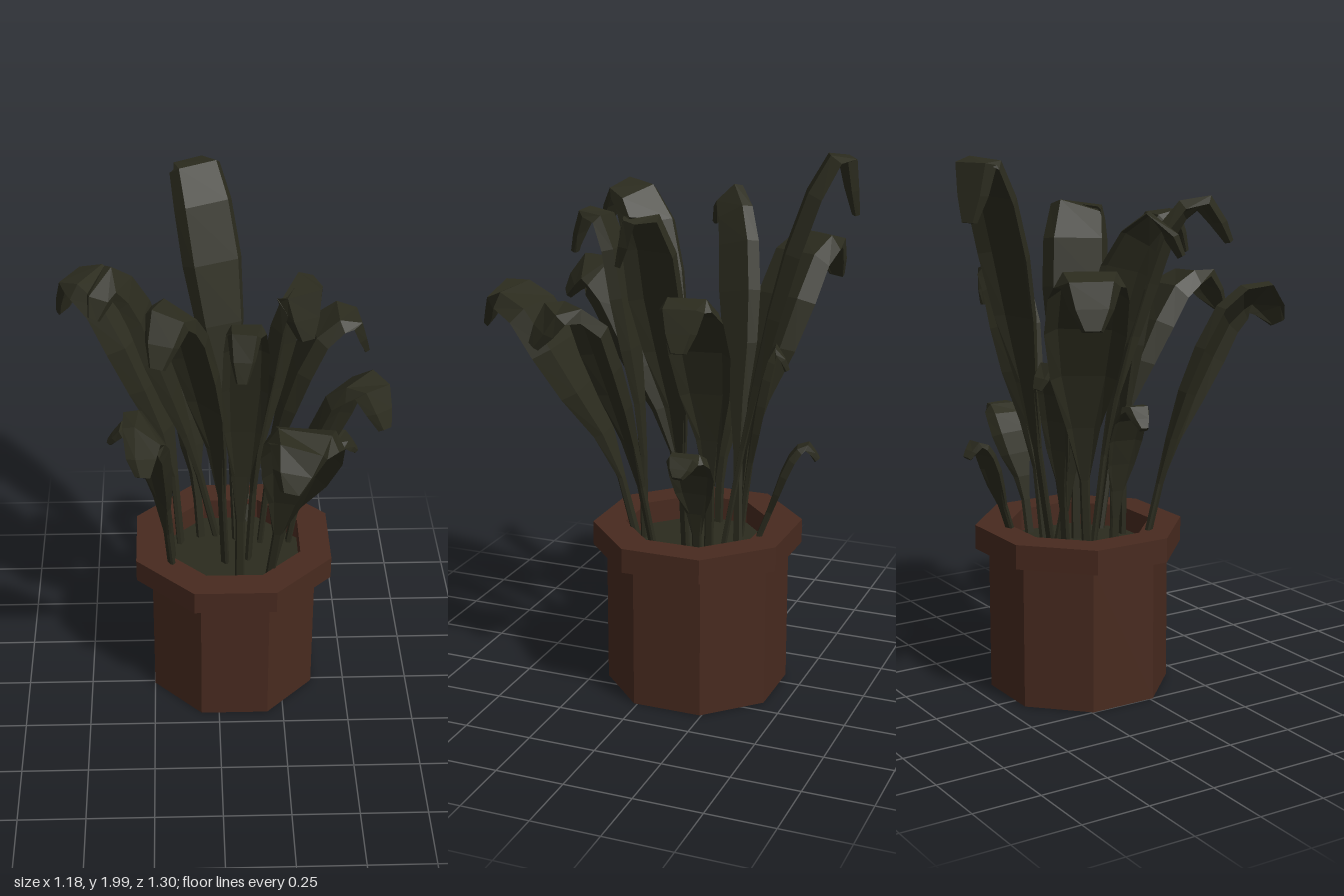
import * as THREE from 'three';

const terracotta = new THREE.MeshStandardMaterial({ color: 0x482a1f });
terracotta.name = 'terracotta';
const darkGreen = new THREE.MeshStandardMaterial({ color: 0x2b2b1e });
darkGreen.name = 'dark green';

const CX = 0.06, CZ = -0.115; // pot axis

function facet(geometry) {
  const g = geometry.index ? geometry.toNonIndexed() : geometry;
  g.computeVertexNormals();
  return g;
}

// Eight-sided turned part; profile is [apothem, y], flats facing the axes
function octagon(name, profile, material, zScale = 1) {
  const pts = profile.map(([a, y]) => new THREE.Vector2(a / Math.cos(Math.PI / 8), y));
  const g = new THREE.LatheGeometry(pts, 8, Math.PI / 8);
  g.scale(1, 1, zScale);
  const mesh = new THREE.Mesh(facet(g), material);
  mesh.name = name;
  mesh.position.set(CX, 0, CZ);
  return mesh;
}

// [position along the leaf, share of full blade width]
const PROFILE = [[0, 0], [0.22, 0], [0.36, 0.42], [0.5, 0.82], [0.63, 1],
  [0.75, 0.97], [0.83, 0.85], [0.89, 0.7], [0.95, 0.52], [1, 0.25]];

// Stalk that widens into a blade and droops at the tip; roll tilts the blade sideways
function leaf(name, width, path, roll = 0) {
  const points = path.map(p => new THREE.Vector3(...p));
  const curve = new THREE.CatmullRomCurve3(points, false, 'centripetal');
  const out = points[points.length - 1].clone().sub(points[0]).setY(0).normalize();
  const level = out.cross(new THREE.Vector3(0, 1, 0));
  const pos = [], index = [], N = 6, stem = 0.035, thick = 0.02;
  for (const [t, share] of PROFILE) {
    const c = curve.getPointAt(t);
    const tangent = curve.getTangentAt(t);
    const side = level.clone().addScaledVector(tangent, -level.dot(tangent)).normalize();
    side.applyAxisAngle(tangent, roll);
    const n = side.clone().cross(tangent);
    const w = Math.max(stem, share * width);
    const drop = 0.2 * w;
    // flat upper face with edges turned down, hollow underside
    const ring = [[0.5, -drop - 0.006], [0.37, 0], [-0.37, 0], [-0.5, -drop - 0.006],
      [-0.33, -thick], [0.33, -thick]];
    for (const [a, b] of ring) {
      const v = c.clone().addScaledVector(side, a * w).addScaledVector(n, b + thick / 2);
      pos.push(v.x, v.y, v.z);
    }
  }
  const last = (PROFILE.length - 1) * N;
  for (let i = 0; i < last; i += N) {
    for (let k = 0; k < N; k++) {
      const a = i + k, b = i + (k + 1) % N;
      index.push(a, a + N, b + N, a, b + N, b);
    }
  }
  // end caps, fanned from an underside corner
  for (let k = 0; k < N - 2; k++) {
    const p = 4, q = (5 + k) % N, r = (6 + k) % N;
    index.push(p, q, r, last + p, last + r, last + q);
  }
  const g = new THREE.BufferGeometry();
  g.setAttribute('position', new THREE.Float32BufferAttribute(pos, 3));
  g.setIndex(index);
  const mesh = new THREE.Mesh(facet(g), darkGreen);
  mesh.name = name;
  return mesh;
}

export function createModel() {
  const model = new THREE.Group();
  model.name = 'pottedPlant';

  model.add(
    octagon('pot', [[0, 0], [0.31, 0], [0.31, 0.535]], terracotta),
    octagon('potRim', [[0.255, 0.535], [0.37, 0.535], [0.37, 0.625], [0.255, 0.625], [0.255, 0.5]], terracotta, 0.955),
    octagon('soil', [[0.26, 0.54], [0, 0.54]], darkGreen)
  );

  const leaves = new THREE.Group();
  leaves.name = 'leaves';
  leaves.add(
    // tall leaves
    leaf('tallBackLeaf', 0.23, [[0.08, 0.53, -0.22], [0.06, 1.0, -0.3], [0.02, 1.5, -0.39],
      [-0.03, 1.85, -0.49], [-0.08, 2.01, -0.595], [-0.1, 1.77, -0.635]], -0.1),
    leaf('frontLeftTallLeaf', 0.22, [[0.03, 0.53, -0.07], [0.0, 1.1, 0.0], [-0.06, 1.5, 0.08],
      [-0.12, 1.76, 0.17], [-0.17, 1.81, 0.28], [-0.21, 1.66, 0.36]], -0.3),
    leaf('frontTallLeaf', 0.16, [[0.08, 0.53, 0.09], [0.08, 1.0, 0.1], [0.09, 1.5, 0.16],
      [0.09, 1.73, 0.22], [0.08, 1.76, 0.3], [0.07, 1.6, 0.36]]),
    leaf('rightTallLeaf', 0.25, [[0.12, 0.53, -0.09], [0.15, 1.1, -0.07], [0.2, 1.5, -0.03],
      [0.24, 1.74, 0.0], [0.28, 1.8, 0.05], [0.305, 1.61, 0.09]], 0.4),
    leaf('leftTallLeaf', 0.18, [[0.0, 0.53, -0.25], [-0.1, 1.0, -0.21], [-0.2, 1.4, -0.16],
      [-0.3, 1.69, -0.11], [-0.38, 1.77, -0.05], [-0.43, 1.65, 0.0]], -0.8),
    // wide spreading leaves
    leaf('backLeftLeaf', 0.28, [[-0.14, 0.53, -0.2], [-0.18, 1.0, -0.24], [-0.27, 1.36, -0.29],
      [-0.38, 1.57, -0.34], [-0.51, 1.62, -0.41], [-0.57, 1.45, -0.44]]),
    leaf('backRightLeaf', 0.22, [[0.17, 0.53, -0.2], [0.22, 1.0, -0.22], [0.3, 1.35, -0.22],
      [0.38, 1.5, -0.22], [0.49, 1.55, -0.22], [0.55, 1.39, -0.23]]),
    leaf('frontRightLeaf', 0.24, [[0.2, 0.53, 0.0], [0.28, 0.95, 0.05], [0.37, 1.28, 0.1],
      [0.44, 1.46, 0.14], [0.525, 1.5, 0.22], [0.565, 1.37, 0.29]]),
    leaf('frontWideLeaf', 0.28, [[0.19, 0.53, 0.06], [0.23, 0.95, 0.16], [0.275, 1.26, 0.29],
      [0.28, 1.45, 0.42], [0.26, 1.49, 0.56], [0.22, 1.35, 0.64]], -0.12),
    leaf('frontLeftLeaf', 0.23, [[-0.17, 0.53, 0.02], [-0.2, 0.95, 0.12], [-0.22, 1.25, 0.24],
      [-0.23, 1.42, 0.35], [-0.25, 1.47, 0.47], [-0.26, 1.36, 0.55]], -0.85),
    // small young leaves
    leaf('smallBackLeaf', 0.1, [[0.13, 0.53, -0.34], [0.11, 0.72, -0.41],
      [0.09, 0.92, -0.48], [0.075, 0.97, -0.53], [0.07, 0.92, -0.57]]),
    leaf('smallRightLeaf', 0.16, [[0.28, 0.53, -0.2], [0.33, 0.8, -0.21],
      [0.4, 0.97, -0.22], [0.48, 1.01, -0.22], [0.53, 0.95, -0.22]]),
    leaf('smallLeftLeaf', 0.13, [[-0.17, 0.53, -0.11], [-0.2, 0.85, -0.11],
      [-0.27, 1.07, -0.11], [-0.34, 1.13, -0.12], [-0.4, 1.06, -0.13]]),
    leaf('smallBackLeftLeaf', 0.12, [[-0.06, 0.53, -0.24], [-0.08, 0.85, -0.27],
      [-0.1, 1.15, -0.31], [-0.115, 1.26, -0.35], [-0.12, 1.18, -0.39]])
  );
  model.add(leaves);
  return model;
}
